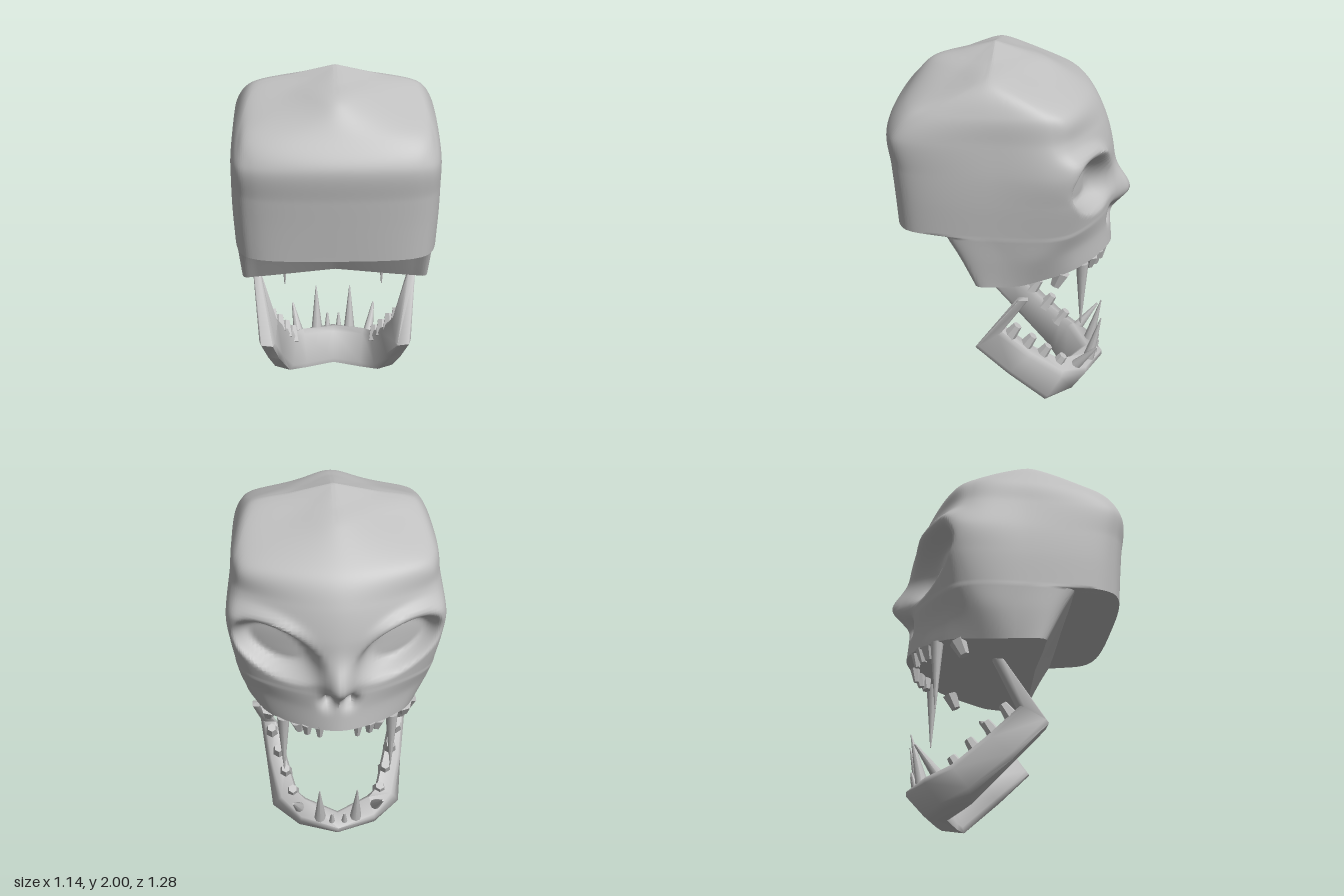
import * as THREE from 'three';
import { toCreasedNormals } from 'three/addons/utils/BufferGeometryUtils.js';

const bone = new THREE.MeshStandardMaterial({ color: 0xbfbfbf });
bone.name = 'bone';
const V = (x, y, z) => new THREE.Vector3(x, y, z);
const { smoothstep, lerp, clamp } = THREE.MathUtils;
const bell = (v, w) => Math.exp(-((v / w) ** 2));

// Skin a list of closed rings; each end is closed to the given centre point
function loft(rings, start, end, crease) {
  const n = rings[0].length;
  const all = [Array(n).fill(start), ...rings, Array(n).fill(end)];
  const pos = all.flat().flatMap(p => [p.x, p.y, p.z]);
  const index = [];
  for (let i = 0; i < all.length - 1; i++) {
    for (let j = 0; j < n; j++) {
      const a = i * n + j, b = i * n + (j + 1) % n, c = a + n, d = b + n;
      if (i > 0) index.push(a, c, b);
      if (i < all.length - 2) index.push(b, c, d);
    }
  }
  const geo = new THREE.BufferGeometry();
  geo.setAttribute('position', new THREE.Float32BufferAttribute(pos, 3));
  geo.setIndex(index);
  return toCreasedNormals(geo, crease);
}

// Half outlines at each height: y, back z, five x/z pairs round the side, front z
const upperRows = [
  [1.995, 0.105, 0.012, 0.1, 0.02, 0.095, 0.024, 0.09, 0.02, 0.085, 0.012, 0.08, 0.075],
  [1.95, 0.27, 0.13, 0.17, 0.2, 0.11, 0.22, 0.087, 0.2, 0.065, 0.12, 0.01, -0.06],
  [1.9, 0.43, 0.25, 0.25, 0.41, 0.14, 0.43, 0.085, 0.41, 0.03, 0.23, -0.08, -0.2],
  [1.76, 0.55, 0.42, 0.485, 0.48, 0.39, 0.518, 0.05, 0.5, -0.21, 0.43, -0.3, -0.41],
  [1.62, 0.64, 0.42, 0.595, 0.5, 0.53, 0.535, 0.05, 0.525, -0.24, 0.46, -0.33, -0.495],
  [1.45, 0.625, 0.42, 0.58, 0.5, 0.51, 0.55, 0.05, 0.55, -0.33, 0.47, -0.39, -0.54],
  [1.3, 0.61, 0.41, 0.57, 0.495, 0.5, 0.55, 0.05, 0.54, -0.31, 0.47, -0.385, -0.54],
  [1.12, 0.592, 0.4, 0.56, 0.485, 0.49, 0.54, 0.05, 0.52, -0.25, 0.44, -0.36, -0.54],
];
const lowerRows = [
  [1.11, 0.31, 0.42, 0.31, 0.505, 0.3, 0.54, 0.05, 0.52, -0.25, 0.44, -0.36, -0.54],
  [0.98, 0.24, 0.42, 0.24, 0.505, 0.225, 0.525, 0, 0.5, -0.2, 0.385, -0.355, -0.54],
  [0.82, 0.16, 0.42, 0.16, 0.5, 0.15, 0.5, 0, 0.45, -0.17, 0.34, -0.37, -0.55],
];

// Smooth closed outline through one row and its mirror image
function outline([y, z0, ...rest], count) {
  const side = [];
  for (let i = 0; i < 10; i += 2) side.push(V(rest[i], y, rest[i + 1]));
  const mirrored = side.map(p => V(-p.x, p.y, p.z)).reverse();
  const curve = new THREE.CatmullRomCurve3([V(0, y, z0), ...side, V(0, y, rest[10]), ...mirrored], true);
  return Array.from({ length: count }, (_, j) => curve.getPoint(j / count));
}

function ringsBetween(rows, count, steps) {
  const loops = rows.map(r => outline(r, count));
  const columns = loops[0].map((_, j) =>
    new THREE.CatmullRomCurve3(loops.map(l => l[j]), false, 'catmullrom', 0.45));
  return Array.from({ length: steps + 1 }, (_, i) => columns.map(c => c.getPoint(i / steps)));
}

// Eye sockets, brow, nose and the arched lower rim
function sculpt(p) {
  const ax = Math.abs(p.x), { y, z } = p;
  const front = 1 - smoothstep(z, -0.32, -0.2);
  const dx = ax - 0.31, dy = y - 1.335, c = Math.cos(0.4), s = Math.sin(0.4);
  const u = (dx * c + dy * s) / 0.245, v = (dy * c - dx * s) / 0.15;
  const r = Math.hypot(u, v);
  let dz = 0.12 * (1 - smoothstep(r, 0.55, 1.08));
  dz -= 0.04 * bell(r - 1.2, 0.2) * smoothstep(v, -0.3, 0.6) * smoothstep(ax, 0.1, 0.3);
  dz -= 0.1 * bell(p.x, 0.07) * bell(y - 1.2, y > 1.2 ? 0.12 : 0.09);
  dz += 0.07 * bell(ax - 0.055, 0.033) * bell(y - 1.06, 0.06);
  p.z += dz * front;
  if (y < 1.1) {
    const lift = 0.07 * clamp((-z - 0.08) / 0.47, 0, 1) + 0.05 * (1 - ax / 0.5) * smoothstep(z, -0.2, 0.1);
    p.y += Math.max(0, lift) * (1.1 - y) / 0.28;
  }
}

function buildSkull() {
  const rings = [...ringsBetween(upperRows, 240, 84), ...ringsBetween(lowerRows, 240, 18)];
  rings.flat().forEach(sculpt);
  return loft(rings, V(0, 2, 0.09), V(0, 0.88, -0.15), 1.0);
}

// Jaw stations from hinge to chin: outer upper, outer lower, inner lower, inner upper
const jawHalf = [
  [[0.462, 0.72, -0.115], [0.462, 0.72, -0.06], [0.42, 0.72, -0.06], [0.42, 0.72, -0.115]],
  [[0.415, 0.49, 0.03], [0.43, 0.4, 0.175], [0.34, 0.38, 0.16], [0.325, 0.49, 0.02]],
  [[0.385, 0.34, -0.13], [0.4, 0.22, 0], [0.31, 0.2, -0.01], [0.27, 0.34, -0.13]],
  [[0.33, 0.19, -0.31], [0.375, 0.04, -0.21], [0.25, 0.005, -0.2], [0.22, 0.235, -0.28]],
  [[0.21, 0.15, -0.45], [0.22, 0.005, -0.34], [0.16, 0, -0.23], [0.18, 0.225, -0.33]],
  [[0, 0.14, -0.54], [0, 0, -0.41], [0, 0, -0.29], [0, 0.19, -0.42]],
];

function buildJaw() {
  // Bevel each four-cornered section into eight points
  const section = (corners, side) => {
    const pts = corners.map(([x, y, z]) => V(x * side, y, z));
    return pts.flatMap((p, i) => {
      const q = pts[(i + 1) % 4];
      return [p.clone().lerp(q, 0.14), p.clone().lerp(q, 0.86)];
    });
  };
  const rings = [
    ...jawHalf.map(s => section(s, -1)),
    ...jawHalf.slice(0, -1).reverse().map(s => section(s, 1)),
  ];
  return loft(rings, V(-0.441, 0.72, -0.087), V(0.441, 0.72, -0.087), 1.15);
}

export function createModel() {
  const model = new THREE.Group();
  model.name = 'skull';
  const add = (name, geometry, parent = model) => {
    const mesh = new THREE.Mesh(geometry, bone);
    mesh.name = name;
    parent.add(mesh);
    return mesh;
  };
  add('cranium', buildSkull());
  add('lowerJaw', buildJaw());

  const upperTeeth = new THREE.Group(), lowerTeeth = new THREE.Group();
  upperTeeth.name = 'upperTeeth';
  lowerTeeth.name = 'lowerTeeth';
  model.add(upperTeeth, lowerTeeth);

  // Mirrored pair of tapered teeth running from root to tip
  const teeth = (parent, name, root, tip, rRoot, rTip, sides = 8) => {
    for (const side of [1, -1]) {
      const a = V(root[0] * side, root[1], root[2]), b = V(tip[0] * side, tip[1], tip[2]);
      const dir = b.clone().sub(a);
      const geo = toCreasedNormals(new THREE.CylinderGeometry(rTip, rRoot, dir.length(), sides), 1);
      const mesh = add(name, geo, parent);
      mesh.position.copy(a).add(b).multiplyScalar(0.5);
      mesh.quaternion.setFromUnitVectors(V(0, 1, 0), dir.normalize());
    }
  };

  teeth(upperTeeth, 'upperFang', [0.29, 0.87, -0.395], [0.293, 0.5, -0.395], 0.034, 0.003);
  teeth(upperTeeth, 'upperMolar', [0.365, 0.85, -0.29], [0.37, 0.77, -0.255], 0.046, 0.028, 6);
  teeth(upperTeeth, 'upperPremolar', [0.215, 0.88, -0.44], [0.205, 0.81, -0.43], 0.04, 0.022, 6);
  teeth(upperTeeth, 'upperSideIncisor', [0.165, 0.89, -0.475], [0.165, 0.81, -0.46], 0.032, 0.018, 6);
  teeth(upperTeeth, 'upperIncisor', [0.1, 0.9, -0.5], [0.1, 0.81, -0.49], 0.03, 0.014, 6);

  teeth(lowerTeeth, 'lowerFang', [0.1, 0.14, -0.44], [0.104, 0.425, -0.51], 0.036, 0.003);
  teeth(lowerTeeth, 'sideFang', [0.21, 0.16, -0.36], [0.25, 0.32, -0.49], 0.034, 0.006);
  teeth(lowerTeeth, 'lowerIncisor', [0.035, 0.14, -0.47], [0.035, 0.24, -0.5], 0.02, 0.006);
  for (let i = 0; i < 4; i++) {
    const t = i / 3, x = lerp(0.36, 0.25, t), y = lerp(0.43, 0.18, t), z = lerp(0, -0.25, t);
    teeth(lowerTeeth, 'lowerMolar', [x, y, z], [x, y + 0.08, z - 0.055], 0.042, 0.025, 6);
  }
  return model;
}
